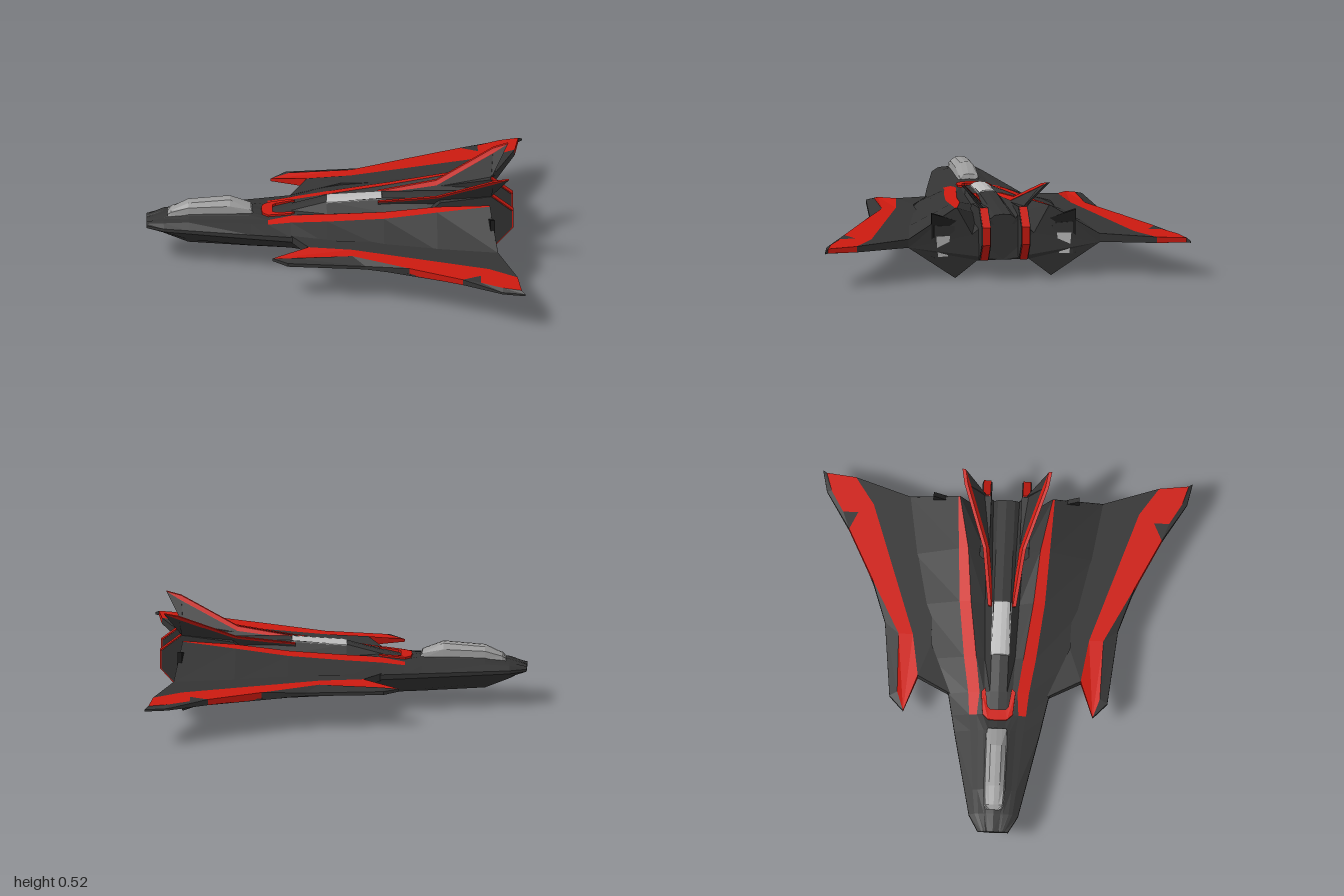
import * as THREE from 'three';

const mat = (color) => new THREE.MeshStandardMaterial({ color, flatShading: true, side: THREE.DoubleSide });
const dark = mat(0x343434), black = mat(0x1c1c1c), red = mat(0xcc1a10), grey = mat(0x9c9c9c), light = mat(0xbbbbbb);

function meshFrom(name, positions, material) {
  const g = new THREE.BufferGeometry();
  g.setAttribute('position', new THREE.Float32BufferAttribute(positions, 3));
  g.computeVertexNormals();
  const m = new THREE.Mesh(g, material);
  m.name = name;
  return m;
}

// Solid slab from a 2D outline; place(u, v, side) puts each corner in space, side 0 or 1
function slab(name, outline, place, material) {
  let pts = outline.map(([u, v]) => new THREE.Vector2(u, v));
  if (THREE.ShapeUtils.area(pts) < 0) pts = pts.reverse();
  const out = [];
  const put = (i, s) => out.push(...place(pts[i].x, pts[i].y, s));
  for (const [a, b, c] of THREE.ShapeUtils.triangulateShape(pts, [])) {
    put(a, 1); put(c, 1); put(b, 1);
    put(a, 0); put(b, 0); put(c, 0);
  }
  pts.forEach((p, i) => {
    const j = (i + 1) % pts.length;
    put(i, 0); put(i, 1); put(j, 1);
    put(i, 0); put(j, 1); put(j, 0);
  });
  return meshFrom(name, out, material);
}

// Skin between half cross-sections (lists of [x, y, z]); pick(band, station) selects quads
function loft(name, rings, material, pick = () => true) {
  const out = [];
  for (let s = 0; s < rings.length - 1; s++) {
    for (let k = 0; k < rings[s].length - 1; k++) {
      if (!pick(k, s)) continue;
      const a = rings[s][k], b = rings[s][k + 1], c = rings[s + 1][k + 1], d = rings[s + 1][k];
      out.push(...a, ...b, ...c, ...a, ...c, ...d);
    }
  }
  return meshFrom(name, out, material);
}

// Hull stations: x, spine y, valley z, valley y, ridge z, ridge y, ridge width, chine z, belly y, keel y
const STATIONS = [
  [-1, .205, .04, .205, .05, .205, .01, .08, .19, .185],
  [-.91, .235, .05, .23, .08, .228, .02, .13, .155, .14],
  [-.78, .265, .06, .25, .09, .24, .025, .157, .12, .09],
  [-.45, .265, .07, .255, .1, .245, .04, .225, .1, .075],
  [-.36, .25, .08, .25, .11, .245, .04, .242, .1, .072],
  [-.24, .275, .075, .265, .1, .265, .06, .265, .095, .067],
  [-.05, .325, .08, .265, .125, .285, .065, .36, .085, .058],
  [.25, .345, .09, .28, .165, .315, .06, .425, .075, .045],
  [.53, .345, .1, .29, .19, .355, .05, .47, .1, .08],
  [.81, .345, .165, .24, .245, .387, .01, .51, .008, .1],
];

// Half cross-section from spine, over the engine ridge and chine, to the keel
function hullRing([x, spine, valleyZ, valleyY, ridgeZ, ridgeY, ridgeW, chine, belly, keel]) {
  const sweep = x + (x > .8 ? .04 : 0), fairing = Math.min(.045, valleyZ * .75);
  return [
    [x, spine, 0], [x, spine - .005, fairing], [x, valleyY, valleyZ],
    [x, ridgeY, ridgeZ], [x, ridgeY - ridgeW * .2, ridgeZ + ridgeW],
    [sweep, .195 + .075 * chine, chine], [sweep, .188, chine],
    [x, belly, chine * .5], [x, keel, chine * .27], [x, keel, 0],
  ];
}

// Wing surface: thins toward the tip and the forward spike
function wingY(x, z, side) {
  const t = (z - .4) / .575;
  const rim = (z > .56 && x < .2) || (z > .94 && x < .9) || x > .98;
  const top = rim ? .208 : Math.min(.237 - .015 * t, .203 + Math.max(0, x + .34) * .17);
  return side ? top : .186 + .012 * t;
}
const onWing = (x, z, s) => [x, wingY(x, z, s), z];

function buildHalf(name) {
  const half = new THREE.Group();
  half.name = name;
  const add = (...m) => half.add(...m);

  // Hull with the red engine ridge stripe
  const rings = STATIONS.map(hullRing);
  const stripe = (k, s) => k === 3 && s >= 4;
  add(loft('hull', rings, dark, (k, s) => !stripe(k, s)), loft('ridgeStripe', rings, red, stripe));
  const capOf = (label, ring, depth) => slab(label, ring.map(p => [p[2], p[1]]),
    (z, y, s) => [ring.find(p => p[2] === z && p[1] === y)[0] + s * depth, y, z], dark);
  add(capOf('noseCap', rings[0], .004), capOf('tailCap', rings[rings.length - 1], -.004));

  // Red collar ahead of the dorsal fairing
  const collar = [[-.395, 0], [-.39, .05], [-.36, .08], [-.24, .09], [-.22, .07], [-.32, .055], [-.335, .04], [-.335, 0]];
  add(slab('collar', collar, (x, z, s) => [x, (s ? .261 : .235) + Math.max(0, x + .36) * .11, z], red));

  // Cockpit glass and dorsal window: rows of x, base y, top y, half width
  const glass = (label, rows, m) => add(loft(label, rows.map(([x, base, top, w]) =>
    [[x, top, 0], [x, top - .004, w * .5], [x, (top + base) / 2 + .008, w * .9], [x, base, w]]), m));
  glass('canopy', [[-.89, .235, .242, .04], [-.87, .24, .268, .05], [-.78, .25, .312, .056],
    [-.56, .25, .33, .058], [-.45, .25, .288, .056], [-.44, .25, .262, .05]], grey);
  glass('dorsalWindow', [[-.051, .285, .3, .05], [-.05, .285, .336, .054], [.24, .3, .352, .056], [.245, .3, .31, .05]], light);

  // Wing: dark inner panel, red outer panel, dark leading edge, tip and underside
  const inner = [[-.24, .255], [-.15, .43], [.08, .465], [.8, .7], [.95, .8], [.85, .51], [.83, .38], [.03, .365]];
  const outer = [[-.34, .5], [-.15, .43], [.08, .465], [.8, .7], [.95, .8], [.97, .955], [.87, .925],
    [.755, .86], [.755, .78], [.66, .825], [.38, .69], [.08, .54], [-.24, .535]];
  const edge = [[-.34, .5], [-.24, .535], [.08, .54], [.38, .69], [.15, .615], [-.26, .575]];
  const tip = [[.66, .825], [.755, .78], [.755, .86], [.87, .925], [.97, .955], [.99, .975], [.87, .95]];
  const under = [[-.12, .43], [.08, .46], [.8, .69], [.93, .8], [.955, .945], [.66, .81], [.15, .595], [-.05, .57]];
  add(
    slab('wingPanel', inner, onWing, dark),
    slab('wingStripe', outer, onWing, red),
    slab('wingLeadingEdge', edge, onWing, dark),
    slab('wingTip', tip, onWing, dark),
    slab('wingUnderside', under, (x, z, s) => [x, wingY(x, z, 0) + (s ? .006 : -.004), z], dark),
  );

  // Canted tail fin: the outward lean grows with height
  const lean = (y) => y < .37 ? .055 + Math.max(0, y - .32) * .9 : .1 + (y - .37) * .8;
  const fin = (thick) => (x, y, s) => [x, y, lean(y) + (s ? thick : -thick)];
  add(
    slab('fin', [[.22, .3], [.22, .325], [.53, .37], [.83, .505], [.91, .53], [.82, .385], [.81, .29]], fin(.007), dark),
    slab('finEdge', [[.22, .322], [.22, .332], [.53, .376], [.83, .512], [.91, .53], [.83, .49], [.53, .355]], fin(.009), red),
  );

  // Tail boom: dark sides with a red spine
  const boom = [[.5, .3], [.55, .35], [.82, .385], [.93, .3], [.93, .205], [.84, .105], [.6, .11]];
  add(
    slab('tailBoom', boom, (x, y, s) => [x - .004, y, s ? .13 : .08], dark),
    slab('tailBoomSpine', boom, (x, y, s) => [x + .004, y, s ? .125 : .085], red),
  );

  // Engine exhaust frame and nozzle
  const exhaust = (back) => (z, y, s) => [(s ? back : .79) + (z - .25) * .15, y, z];
  add(
    slab('exhaustFrame', [[.225, .31], [.385, .365], [.385, .13], [.225, .12]], exhaust(.814), black),
    slab('exhaustRecess', [[.26, .29], [.37, .3], [.37, .125], [.27, .125]], exhaust(.817), dark),
    slab('exhaustNozzle', [[.285, .24], [.36, .24], [.35, .13], [.295, .13]], exhaust(.82), light),
  );
  return half;
}

export function createModel() {
  const model = new THREE.Group();
  model.name = 'spacecraft';
  const near = buildHalf('nearSide'), far = buildHalf('farSide');
  far.scale.z = -1;
  model.add(near, far);
  return model;
}
